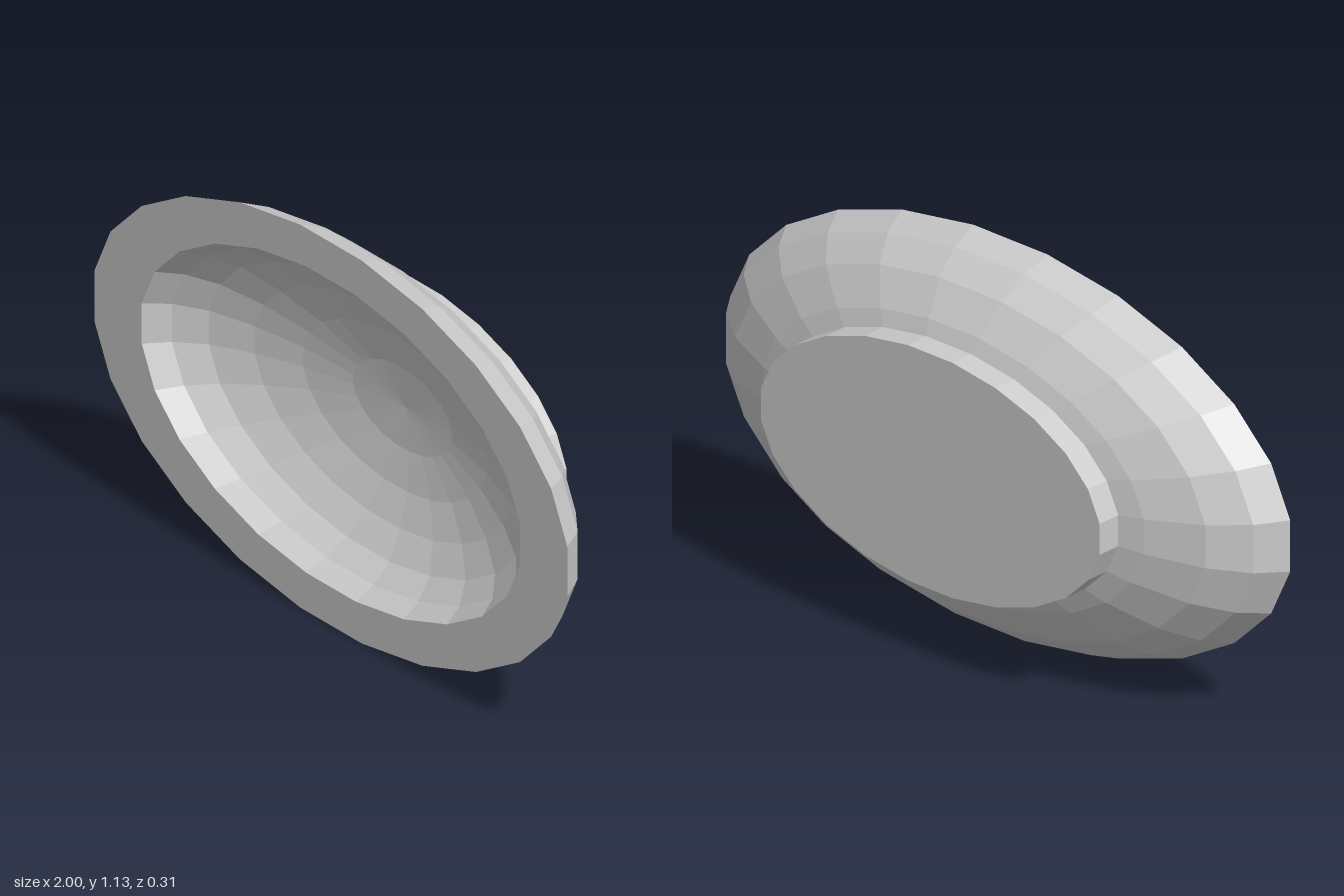
import * as THREE from 'three';

const SIDES = 24;
const HALF_HEIGHT = 0.567, STRETCH = 1 / HALF_HEIGHT;
const RIM_Z = 0.155, DEPTH = 0.31, INNER = 0.8;
// Ring radii of the bowl, rim to centre, one every 15 degrees of depth
const RINGS = [1, 0.942, 0.84, 0.68, 0.485, 0.26, 0];

// Bowl curve at a given scale, listed from rim to centre
function bowlCurve(scale) {
  return RINGS.map((r, i) => [
    r * HALF_HEIGHT * scale,
    RIM_Z - DEPTH * scale * Math.sin((i * Math.PI) / 12),
  ]);
}

// Revolve [radius, z] pairs about z, with flat sides at top, bottom and ends
function ellipticalLathe(name, profile, material) {
  const k = 1 / Math.cos(Math.PI / SIDES);
  const points = profile.map(([r, z]) => new THREE.Vector2(r * k, z));
  const geometry = new THREE.LatheGeometry(points, SIDES, Math.PI / SIDES);
  geometry.rotateX(Math.PI / 2);
  geometry.scale(STRETCH, 1, 1);
  geometry.translate(0, HALF_HEIGHT, 0);
  const mesh = new THREE.Mesh(geometry, material);
  mesh.name = name;
  return mesh;
}

export function createModel() {
  const group = new THREE.Group();
  group.name = 'ovalBowl';
  const material = new THREE.MeshStandardMaterial({ color: 0xcccccc, flatShading: true });

  // Bowl: outer wall from the foot to the rim, flat rim, then the hollow
  const outer = bowlCurve(1).slice(0, 4).reverse();
  const bowl = [[0.343, -0.083], ...outer, ...bowlCurve(INNER)];
  group.add(ellipticalLathe('bowl', bowl, material));

  // Foot: short oval base, closed at the back
  const foot = [[0, -RIM_Z], [0.343, -RIM_Z], [0.343, -0.083]];
  group.add(ellipticalLathe('foot', foot, material));

  return group;
}
